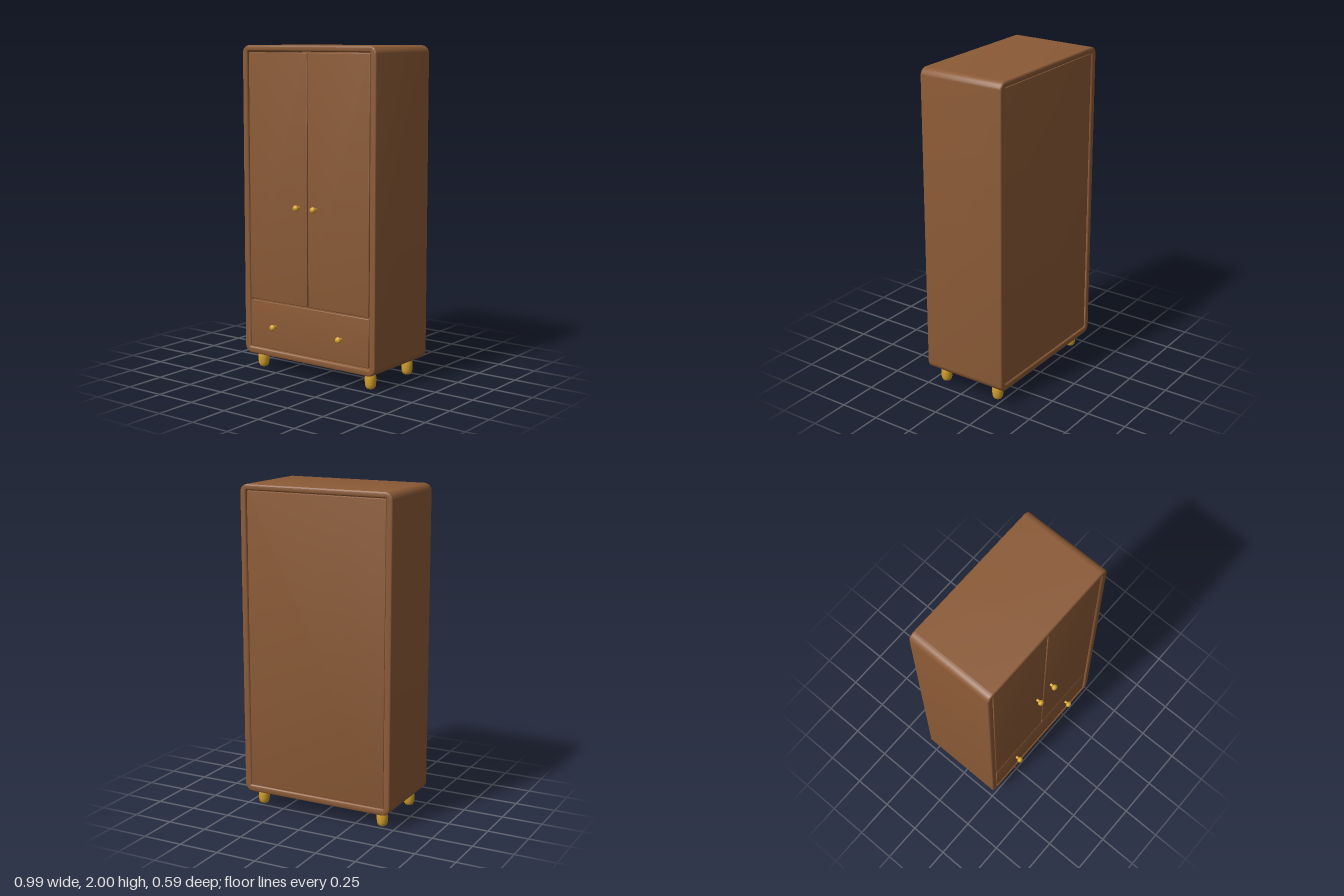
import * as THREE from 'three';
import { toCreasedNormals } from 'three/addons/utils/BufferGeometryUtils.js';

const wood = new THREE.MeshStandardMaterial({ color: 0x8b5a36 });
wood.name = 'walnut wood';
const brass = new THREE.MeshStandardMaterial({ color: 0xd4a02c });
brass.name = 'brass';

// Rounded rectangle outline
function roundedRect(path, x0, y0, x1, y1, r) {
  path.moveTo(x0 + r, y0);
  path.lineTo(x1 - r, y0);
  path.absarc(x1 - r, y0 + r, r, -Math.PI / 2, 0);
  path.lineTo(x1, y1 - r);
  path.absarc(x1 - r, y1 - r, r, 0, Math.PI / 2);
  path.lineTo(x0 + r, y1);
  path.absarc(x0 + r, y1 - r, r, Math.PI / 2, Math.PI);
  path.lineTo(x0, y0 + r);
  path.absarc(x0 + r, y0 + r, r, Math.PI, Math.PI * 1.5);
  return path;
}

// Softly bevelled board between z0 and z1
function board(name, shape, z0, z1, bevel) {
  const geo = new THREE.ExtrudeGeometry(shape, {
    depth: z1 - z0 - 2 * bevel, bevelThickness: bevel, bevelSize: bevel,
    bevelOffset: -bevel, bevelSegments: 3, curveSegments: 10,
  });
  geo.translate(0, 0, z0 + bevel);
  const mesh = new THREE.Mesh(toCreasedNormals(geo, 0.7), wood);
  mesh.name = name;
  return mesh;
}

function panel(name, x0, y0, x1, y1, z0, z1) {
  return board(name, roundedRect(new THREE.Shape(), x0, y0, x1, y1, 0.006), z0, z1, 0.004);
}

function lathe(name, points, segments) {
  const profile = points.map(([r, y]) => new THREE.Vector2(r, y));
  const mesh = new THREE.Mesh(new THREE.LatheGeometry(profile, segments), brass);
  mesh.name = name;
  return mesh;
}

export function createModel() {
  const model = new THREE.Group();
  model.name = 'wardrobe';

  // Carcass: a rounded tube open at front and back
  const outline = roundedRect(new THREE.Shape(), -0.493, 0.098, 0.493, 2, 0.048);
  outline.holes.push(roundedRect(new THREE.Path(), -0.453, 0.139, 0.453, 1.964, 0.008));
  model.add(board('carcass', outline, -0.297, 0.255, 0.009));

  // Back panel and the inner divider above the drawer
  model.add(panel('backPanel', -0.451, 0.141, 0.451, 1.962, -0.29, -0.27));
  model.add(panel('divider', -0.453, 0.43, 0.453, 0.455, -0.27, 0.215));

  // Doors and drawer front
  model.add(panel('leftDoor', 0.003, 0.447, 0.447, 1.958, 0.225, 0.25));
  model.add(panel('rightDoor', -0.447, 0.447, -0.003, 1.958, 0.225, 0.25));
  model.add(panel('drawerFront', -0.447, 0.146, 0.447, 0.438, 0.225, 0.25));

  // Knobs: slim stem with a flattened ball
  const knobProfile = [[0.009, 0], [0.008, 0.012], [0.009, 0.016]];
  for (let i = 1; i <= 10; i++) {
    const a = -1.05 + (i / 10) * (Math.PI / 2 + 1.05);
    knobProfile.push([Math.max(0, 0.0195 * Math.cos(a)), 0.031 + 0.016 * Math.sin(a)]);
  }
  for (const [name, x, y] of [['doorKnob', 0.064, 1.043], ['drawerKnob', 0.25, 0.29]]) {
    for (const side of [1, -1]) {
      const knob = lathe(name, knobProfile, 20);
      knob.rotation.x = Math.PI / 2;
      knob.position.set(side * x, y, 0.25);
      model.add(knob);
    }
  }

  // Barrel feet
  const footProfile = [
    [0, 0], [0.014, 0.001], [0.024, 0.006], [0.03, 0.016], [0.033, 0.03],
    [0.035, 0.055], [0.034, 0.075], [0.031, 0.095], [0.029, 0.104], [0, 0.104],
  ];
  for (const x of [-0.41, 0.41]) {
    for (const z of [-0.211, 0.175]) {
      const foot = lathe('foot', footProfile, 24);
      foot.position.set(x, 0, z);
      model.add(foot);
    }
  }
  return model;
}
